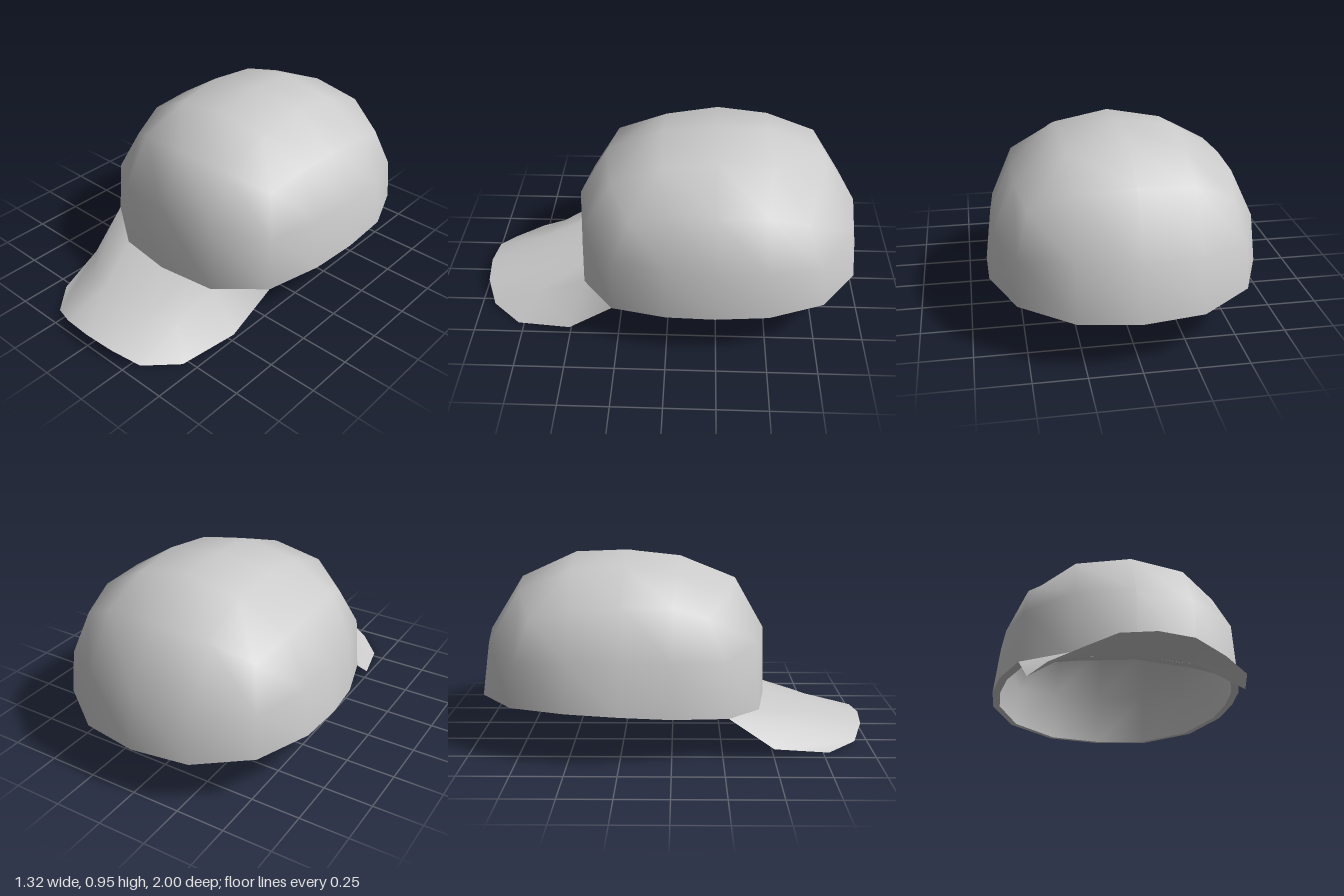
import * as THREE from 'three';
import { mergeVertices } from 'three/addons/utils/BufferGeometryUtils.js';

const grey = new THREE.MeshStandardMaterial({ color: 0xcccccc });
const greyBoth = new THREE.MeshStandardMaterial({ color: 0xcccccc, side: THREE.DoubleSide });

// Half rings of the crown, from back centre round the left side to front centre
const c = [0.275, 0.885, -0.5], f = [0.275, 0.87, 0.03];
const pole = [0, 0.95, -0.24];
const halfRings = [
  // rim
  [[0, 0.25, -1], [0.29, 0.25, -0.955], [0.54, 0.262, -0.775], [0.655, 0.27, -0.5], [0.66, 0.255, -0.24],
    [0.63, 0.235, 0], [0.545, 0.212, 0.275], [0.3, 0.18, 0.44], [0, 0.187, 0.485]],
  // wall
  [[0, 0.53, -0.96], [0.29, 0.525, -0.915], [0.53, 0.48, -0.755], [0.63, 0.51, -0.49], [0.63, 0.51, -0.24],
    [0.61, 0.505, 0], [0.53, 0.49, 0.26], [0.3, 0.525, 0.43], [0, 0.54, 0.475]],
  // shoulder
  [[0, 0.81, -0.785], [0.28, 0.785, -0.755], [0.475, 0.685, -0.68], [0.52, 0.745, -0.48], [0.52, 0.755, -0.24],
    [0.505, 0.75, 0], [0.46, 0.68, 0.18], [0.28, 0.775, 0.285], [0, 0.805, 0.325]],
  // top square, its corners shared by three points of the shoulder
  [[0, 0.94, -0.5], c, c, c, [0.285, 0.91, -0.24], f, f, f, [0, 0.92, 0.04]],
  // crown centre
  Array(9).fill(pole),
];

const mirrorX = ([x, y, z]) => [-x, y, z];
const fullRing = (half) => [...half, ...half.slice(1, -1).reverse().map(mirrorX)];

// Skins a stack of point rows; repeated points collapse to triangles
function skin(rows, closed) {
  const pos = [];
  const same = (p, q) => p.every((v, i) => Math.abs(v - q[i]) < 1e-6);
  const tri = (p, q, r) => {
    if (!same(p, q) && !same(q, r) && !same(p, r)) pos.push(...p, ...q, ...r);
  };
  for (let j = 0; j < rows.length - 1; j++) {
    const n = rows[j].length;
    for (let i = 0; i < (closed ? n : n - 1); i++) {
      const k = (i + 1) % n;
      tri(rows[j][i], rows[j + 1][i], rows[j + 1][k]);
      tri(rows[j][i], rows[j + 1][k], rows[j][k]);
    }
  }
  let g = new THREE.BufferGeometry();
  g.setAttribute('position', new THREE.Float32BufferAttribute(pos, 3));
  g = mergeVertices(g, 1e-5);
  g.computeVertexNormals();
  return g;
}

// Offsets a skin inwards along its normals and turns it inside out
function lining(outer, thickness) {
  const g = outer.clone();
  const p = g.attributes.position, n = g.attributes.normal;
  for (let i = 0; i < p.count; i++) {
    p.setXYZ(i, p.getX(i) - n.getX(i) * thickness, p.getY(i) - n.getY(i) * thickness,
      p.getZ(i) - n.getZ(i) * thickness);
  }
  g.setIndex(Array.from(g.index.array).reverse());
  g.computeVertexNormals();
  return g;
}

export function createModel() {
  const group = new THREE.Group();
  const add = (name, geometry, material) => {
    const mesh = new THREE.Mesh(geometry, material);
    mesh.name = name;
    group.add(mesh);
  };

  // Domed crown with its lining
  const rings = halfRings.map(fullRing);
  const outer = skin(rings, true);
  const inner = lining(outer, 0.04);
  add('crown', outer, grey);
  add('crownLining', inner, grey);

  // Rim joining crown and lining: look up each rim point's inset partner
  const po = outer.attributes.position, pi = inner.attributes.position;
  const innerRim = rings[0].map(([x, y, z]) => {
    for (let i = 0; i < po.count; i++) {
      if (Math.hypot(po.getX(i) - x, po.getY(i) - y, po.getZ(i) - z) < 1e-4) {
        return [pi.getX(i), pi.getY(i), pi.getZ(i)];
      }
    }
  });
  add('rim', skin([innerRim, rings[0]], true), grey);

  // Curved brim: rows from the rim out to the front edge, centre to left side
  const brimHalf = [
    [[0, 0.187, 0.48], [0.16, 0.184, 0.46], [0.3, 0.18, 0.44], [0.545, 0.212, 0.275]],
    [[0, 0.13, 0.74], [0.16, 0.123, 0.725], [0.3, 0.1, 0.69], [0.51, 0.045, 0.5]],
    [[0, 0.07, 1], [0.16, 0.058, 0.985], [0.3, 0.01, 0.93], [0.435, 0, 0.78]],
  ];
  const brimRows = brimHalf.map((h) => [...h.slice(1).reverse().map(mirrorX), ...h]);
  add('brim', skin(brimRows, false), greyBoth);

  return group;
}
